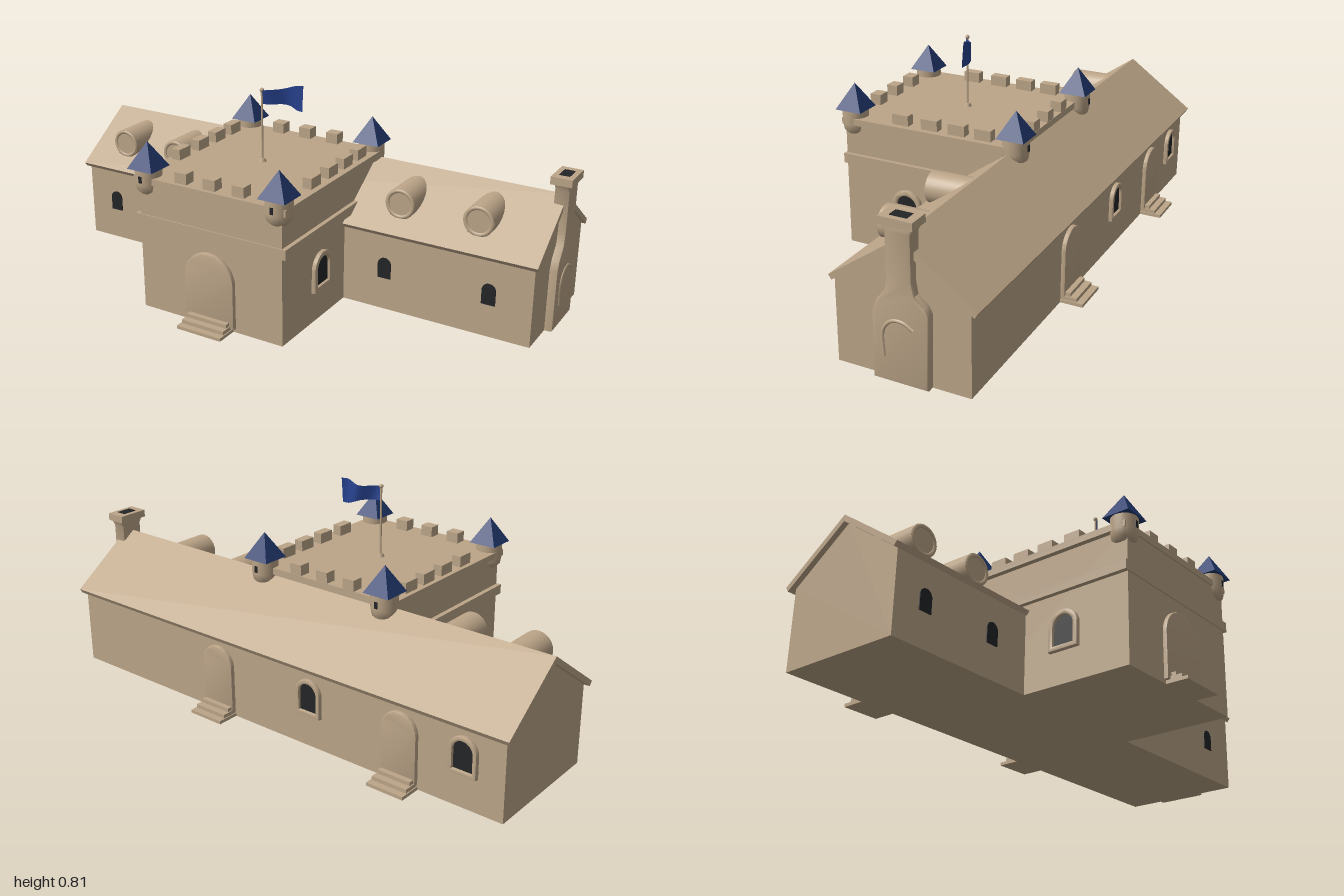
import * as THREE from 'three';
import { toCreasedNormals } from 'three/addons/utils/BufferGeometryUtils.js';

const mat = (name, color, side = THREE.FrontSide) => {
  const m = new THREE.MeshStandardMaterial({ color, side });
  m.name = name;
  return m;
};

export function createModel() {
  const stone = mat('sandstone', 0xbca588);
  const roofBlue = mat('turret blue', 0x223a70);
  const flagBlue = mat('flag blue', 0x26428f, THREE.DoubleSide);
  const dark = mat('dark opening', 0x242527);
  const wood = mat('door brown', 0x72553a);

  const model = new THREE.Group();
  model.name = 'castleHall';

  const add = (name, geo, material, x = 0, y = 0, z = 0, parent = model) => {
    const mesh = new THREE.Mesh(geo, material);
    mesh.name = name;
    mesh.position.set(x, y, z);
    parent.add(mesh);
    return mesh;
  };
  // box given by its limits on each axis
  const box = (name, x0, x1, y0, y1, z0, z1, material = stone, parent = model) =>
    add(name, new THREE.BoxGeometry(x1 - x0, y1 - y0, z1 - z0), material,
      (x0 + x1) / 2, (y0 + y1) / 2, (z0 + z1) / 2, parent);
  const extrude = (shape, depth, bevel = 0) => toCreasedNormals(new THREE.ExtrudeGeometry(shape, {
    depth, curveSegments: 12, bevelEnabled: bevel > 0,
    bevelSize: bevel, bevelThickness: bevel, bevelOffset: -bevel, bevelSegments: 2,
  }), 0.7);
  // prism with a (z, y) cross-section, running along x
  const prism = (name, pts, x0, x1, bevel = 0) => {
    const shape = new THREE.Shape(pts.map(([z, y]) => new THREE.Vector2(z, y)));
    const mesh = add(name, extrude(shape, x1 - x0 - 2 * bevel, bevel), stone, x1 - bevel, 0, 0);
    mesh.rotation.y = -Math.PI / 2;
    return mesh;
  };
  // arched outline standing on y = y0; rise is the height of the arch
  const arch = (w, h, y0, rise, Type = THREE.Shape) => {
    const p = new Type();
    p.moveTo(-w / 2, y0);
    p.lineTo(w / 2, y0);
    p.lineTo(w / 2, y0 + h - rise);
    p.absellipse(0, y0 + h - rise, w / 2, rise, 0, Math.PI, false);
    p.closePath();
    return p;
  };
  // arched pane with an optional raised surround, facing +z before turning
  const opening = (name, w, h, frame, sill, material, x, y, z, turn = 0) => {
    const g = new THREE.Group();
    g.name = name;
    g.position.set(x, y, z);
    g.rotation.y = turn;
    model.add(g);
    const rise = Math.min(w / 2, h * 0.4);
    add(name + 'Pane', extrude(arch(w, h, 0, rise), 0.006), material, 0, 0, 0, g);
    if (frame) {
      const s = arch(w + 2 * frame, h + frame + sill, -sill, rise + frame);
      s.holes.push(arch(w, h, 0, rise, THREE.Path));
      add(name + 'Frame', extrude(s, 0.012, 0.005), stone, 0, 0, 0, g);
    }
    return g;
  };

  // Long hall with gabled ends
  prism('hallWalls', [[0.018, 0], [0.018, 0.3], [-0.222, 0.47], [-0.46, 0.3], [-0.46, 0]], -0.98, 0.96);
  prism('hallRoof', [[0.022, 0.293], [0.034, 0.309], [-0.225, 0.491], [-0.486, 0.304],
    [-0.476, 0.287], [-0.225, 0.466]], -1, 0.972);

  // Square tower block with a belt course and a cornice
  box('towerWalls', -0.37, 0.227, 0, 0.5, -0.235, 0.452);
  box('beltCourse', -0.388, 0.243, 0.333, 0.37, -0.2, 0.457);
  box('cornice', -0.39, 0.245, 0.49, 0.515, -0.245, 0.457);

  // Battlements around the deck
  for (const x of [-0.195, -0.075, 0.045])
    for (const z of [-0.222, 0.42])
      box('merlon', x - 0.025, x + 0.025, 0.51, 0.555, z - 0.022, z + 0.022);
  for (const z of [-0.115, -0.01, 0.1, 0.22])
    for (const x of [-0.355, 0.205])
      box('merlon', x - 0.018, x + 0.018, 0.51, 0.555, z - 0.033, z + 0.033);

  // Corner turrets with pyramid caps
  const turretProfile = [[0, 0.445], [0.03, 0.45], [0.044, 0.463], [0.049, 0.49], [0.049, 0.55]]
    .map(([r, y]) => new THREE.Vector2(r, y));
  for (const x of [-0.347, 0.2])
    for (const z of [-0.235, 0.425]) {
      const s = Math.sign(z);
      add('turret', new THREE.LatheGeometry(turretProfile, 20), stone, x, 0, z);
      const cap = add('turretCap', new THREE.ConeGeometry(0.076, 0.097, 4, 1).toNonIndexed(), roofBlue, x, 0.592, z);
      cap.geometry.computeVertexNormals();
      cap.rotation.y = Math.PI / 4;
      box('turretSlit', x - 0.006, x + 0.006, 0.498, 0.522, z + s * 0.048 - 0.004, z + s * 0.048 + 0.004, dark);
    }

  // Flagpole
  add('flagpole', new THREE.CylinderGeometry(0.004, 0.004, 0.285, 8), stone, -0.075, 0.645, 0.1);
  add('poleFinial', new THREE.SphereGeometry(0.008, 10, 8), stone, -0.075, 0.787, 0.1);
  add('poleFoot', new THREE.CylinderGeometry(0.01, 0.016, 0.015, 10), stone, -0.075, 0.52, 0.1);

  // Waving flag, widening to its free end
  const flag = new THREE.PlaneGeometry(1, 1, 14, 6);
  const fp = flag.attributes.position;
  for (let i = 0; i < fp.count; i++) {
    const u = fp.getX(i) + 0.5, v = fp.getY(i);
    const half = 0.027 + 0.02 * THREE.MathUtils.smoothstep(u, 0.35, 0.9);
    fp.setXYZ(i, -0.073 + 0.137 * u, 0.76 + 2 * half * v,
      0.1 - 0.058 * Math.sin(u * 1.75) + 0.008 * Math.sin(u * 9 + v));
  }
  flag.computeVertexNormals();
  add('flag', flag, flagBlue);

  // Front door, tower windows and hall windows
  opening('frontDoor', 0.155, 0.245, 0.026, 0, wood, -0.07, 0.015, 0.451);
  opening('towerWindowLeft', 0.084, 0.108, 0.02, 0.018, dark, 0.226, 0.137, 0.192, Math.PI / 2);
  opening('towerWindowRight', 0.084, 0.108, 0.02, 0.018, dark, -0.369, 0.137, 0.192, -Math.PI / 2);
  for (const x of [-0.85, -0.54, 0.395, 0.8])
    opening('hallWindow', 0.052, 0.08, 0, 0, dark, x, 0.125, 0.016);

  // Rear doors and windows
  for (const x of [-0.585, 0.228])
    opening('rearDoor', 0.105, 0.225, 0.018, 0, wood, x, 0.02, -0.459, Math.PI);
  for (const x of [-0.83, -0.2])
    opening('rearWindow', 0.075, 0.105, 0.016, 0.015, dark, x, 0.137, -0.459, Math.PI);

  // Steps: three treads growing outward from the wall
  const steps = (x, wall, dir, w) => {
    for (let i = 0; i < 3; i++) {
      const end = wall + dir * (0.035 + 0.025 * i);
      box('step', x - w / 2 - i * 0.004, x + w / 2 + i * 0.004, 0, 0.04 - i * 0.014,
        Math.min(wall, end), Math.max(wall, end));
    }
  };
  steps(-0.07, 0.452, 1, 0.17);
  steps(-0.585, -0.46, -1, 0.13);
  steps(0.228, -0.46, -1, 0.13);

  // Round dormers running back into the roof
  for (const x of [-0.827, -0.575, 0.425, 0.727]) {
    const outline = new THREE.Shape().absellipse(0, 0.405, 0.058, 0.058, 0, Math.PI * 2, false);
    outline.holes.push(arch(0.076, 0.084, 0.357, 0.038, THREE.Path));
    add('dormer', extrude(outline, 0.17), stone, x, 0, -0.2);
    add('dormerPane', extrude(arch(0.08, 0.088, 0.355, 0.04), 0.006), dark, x, 0, -0.056);
    const rim = add('dormerRim', new THREE.TorusGeometry(0.05, 0.008, 8, 24), stone, x, 0.405, -0.031);
    rim.scale.z = 0.7;
  }

  // Chimney: broad hearth base, sloped shoulders, slim stack and cap
  const c = -0.23;
  prism('chimney', [[c + 0.1, 0], [c + 0.098, 0.235], [c + 0.085, 0.272], [c + 0.052, 0.315], [c + 0.045, 0.36],
    [c + 0.045, 0.515], [c + 0.058, 0.54], [c - 0.058, 0.54], [c - 0.045, 0.515], [c - 0.045, 0.36],
    [c - 0.052, 0.315], [c - 0.088, 0.285], [c - 0.1, 0.26], [c - 0.095, 0]], 0.935, 0.99, 0.008);
  box('chimneyCap', 0.922, 1, 0.537, 0.565, c - 0.06, c + 0.06);
  box('chimneyFlue', 0.942, 0.98, 0.562, 0.567, c - 0.03, c + 0.03, dark);
  const hood = new THREE.CatmullRomCurve3([[0.09, -0.172], [0.18, -0.172], [0.215, -0.2], [0.22, -0.24], [0.2, -0.278]]
    .map(([y, z]) => new THREE.Vector3(0.988, y, z)));
  add('chimneyMoulding', new THREE.TubeGeometry(hood, 20, 0.007, 8), stone);

  return model;
}
